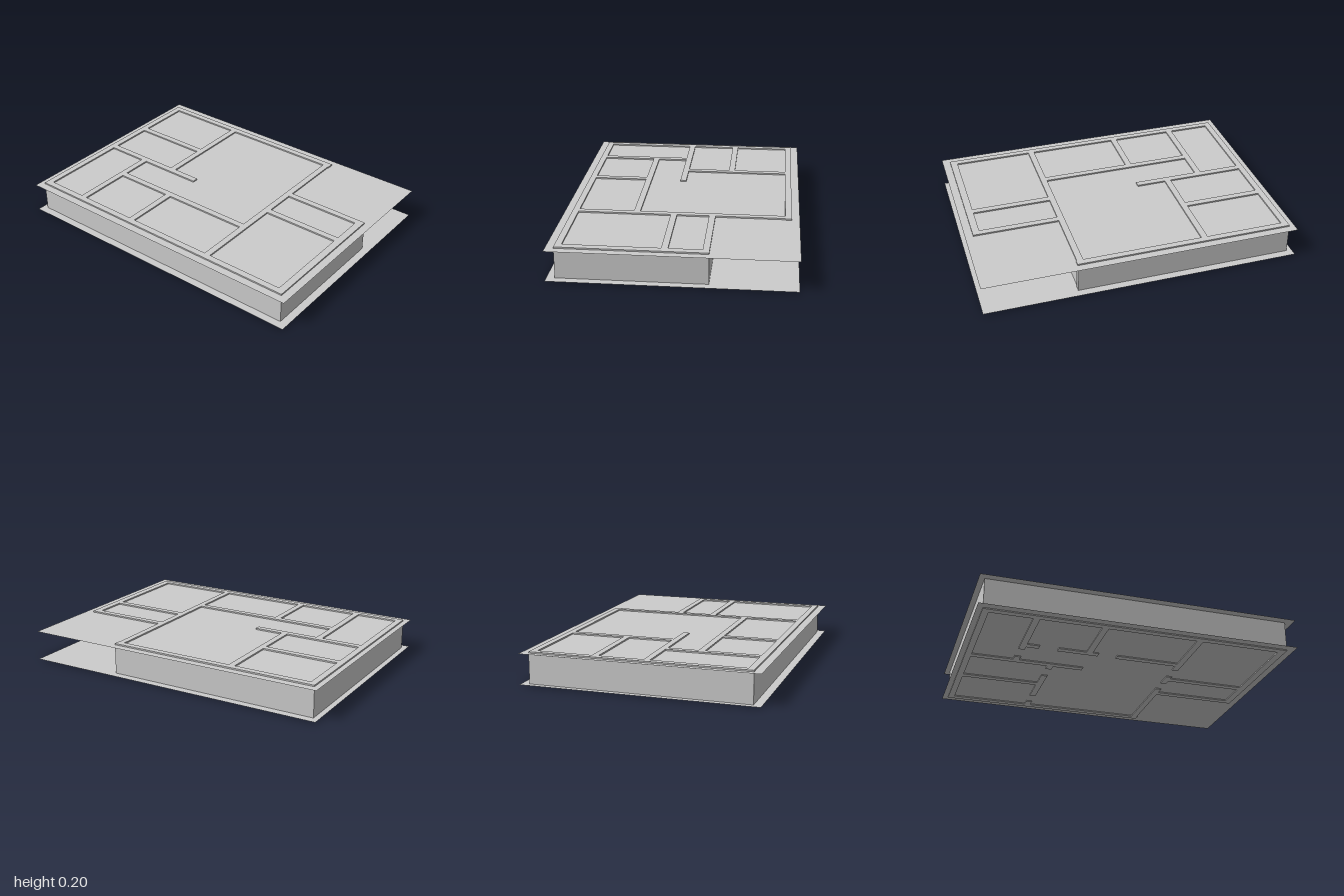
import * as THREE from 'three';

const HEIGHT = 0.205;     // full wall height
const DOOR_TOP = 0.16;    // underside of the door headers

export function createModel() {
  const model = new THREE.Group();
  model.name = 'floorPlan';
  const wallMat = new THREE.MeshStandardMaterial({ color: 0xcccccc, flatShading: true });
  const sheetMat = new THREE.MeshStandardMaterial({ color: 0xcccccc, side: THREE.DoubleSide });

  // Thin floor and ceiling sheets; the walls stand slightly proud of both
  const sheet = (name, y) => {
    const geometry = new THREE.PlaneGeometry(1.47, 2).rotateX(-Math.PI / 2);
    const mesh = new THREE.Mesh(geometry, sheetMat);
    mesh.name = name;
    mesh.position.y = y;
    model.add(mesh);
  };
  sheet('floor', 0.007);
  sheet('ceiling', 0.196);

  const block = (parent, name, x0, x1, y0, y1, z0, z1) => {
    const mesh = new THREE.Mesh(new THREE.BoxGeometry(x1 - x0, y1 - y0, z1 - z0), wallMat);
    mesh.name = name;
    mesh.position.set((x0 + x1) / 2, (y0 + y1) / 2, (z0 + z1) / 2);
    parent.add(mesh);
  };

  // A wall along x or z: [from, to] is its run, [near, far] its thickness,
  // and doors lists [start, end] openings along the run
  const wall = (name, axis, [from, to], [near, far], doors = []) => {
    const group = new THREE.Group();
    group.name = name;
    const piece = (label, a, b, y0) => axis === 'x'
      ? block(group, label, a, b, y0, HEIGHT, near, far)
      : block(group, label, near, far, y0, HEIGHT, a, b);
    let start = from;
    for (const [d0, d1] of doors) {
      piece('wallPanel', start, d0, 0);
      piece('doorHeader', d0, d1, DOOR_TOP);
      start = d1;
    }
    piece('wallPanel', start, to, 0);
    model.add(group);
  };

  // Outer walls, stepped in at the front left corner
  wall('backWall', 'x', [-0.685, 0.685], [-0.965, -0.925]);
  wall('rightOuterWall', 'z', [-0.925, 0.95], [-0.685, -0.645]);
  wall('leftOuterWall', 'z', [-0.925, 0.41], [0.645, 0.685]);
  wall('frontWall', 'x', [-0.645, 0.215], [0.905, 0.95]);
  wall('porchSideWall', 'z', [0.405, 0.905], [0.175, 0.215]);

  // Inner walls with door openings
  wall('livingFrontWall', 'x', [-0.645, 0.645], [0.365, 0.405], [[-0.2, -0.09], [0.02, 0.12]]);
  wall('frontRoomDivider', 'z', [0.405, 0.905], [-0.065, -0.025]);
  wall('hallRightWall', 'z', [-0.62, 0.365], [-0.3, -0.26], [[-0.54, -0.42], [-0.16, -0.04]]);
  wall('sideRoomDivider', 'x', [-0.645, -0.3], [-0.24, -0.2]);
  wall('backRoomWall', 'x', [-0.645, -0.065], [-0.66, -0.62], [[-0.22, -0.11]]);
  wall('hallLeftWall', 'z', [-0.925, -0.2], [-0.065, -0.025]);
  wall('bedroomWall', 'x', [-0.025, 0.645], [-0.43, -0.39], [[0.02, 0.13], [0.48, 0.59]]);
  wall('bedroomDivider', 'z', [-0.925, -0.43], [0.255, 0.295]);

  return model;
}
